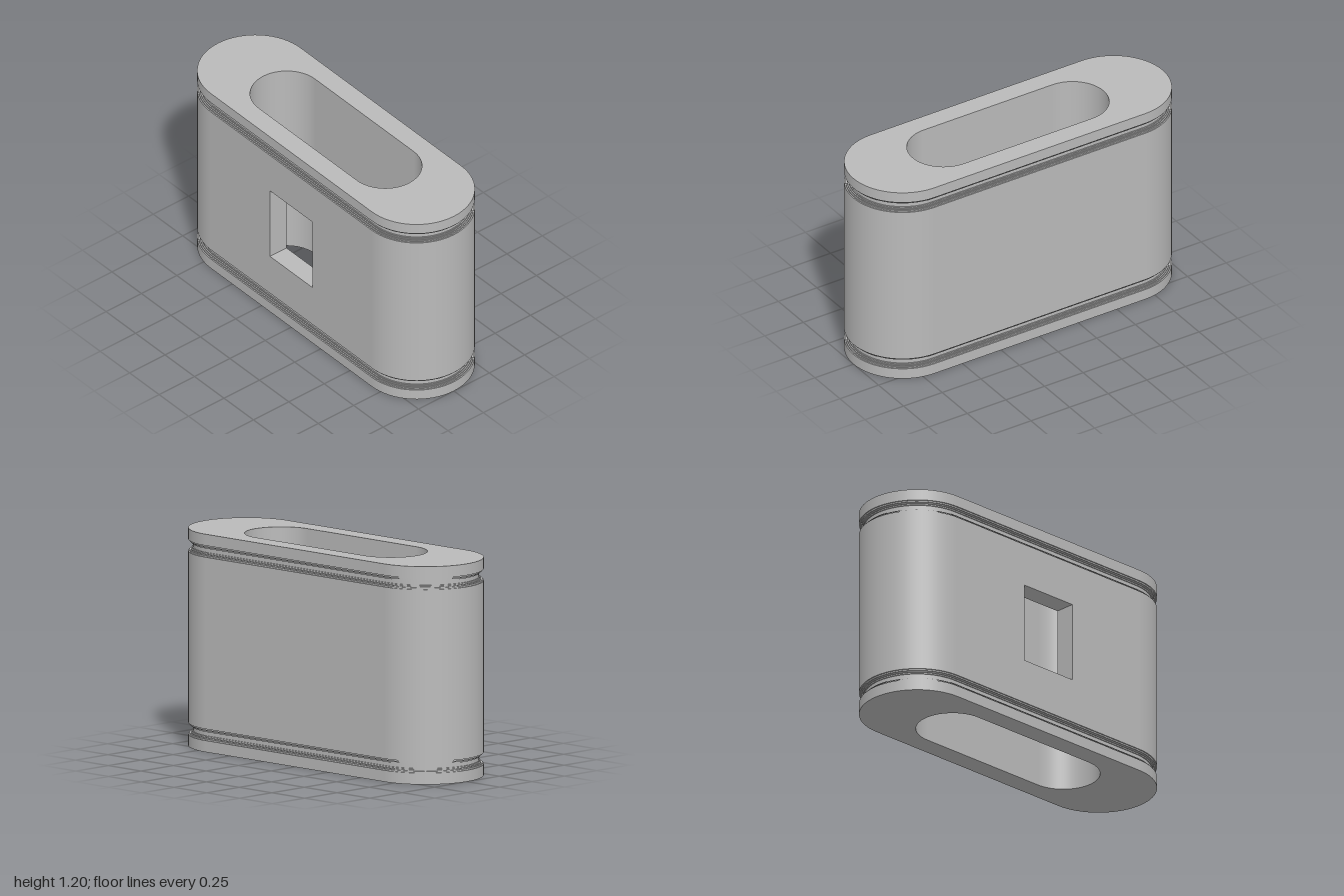
import * as THREE from 'three';

const OUT = { c: 0.683, r: 0.317 };   // outer stadium: end centre x, end radius
const INN = { c: 0.417, r: 0.2 };     // hollow stadium
const H = 1.2, ARC = 32;
const WIN = { x: 0.18, y0: 0.38, y1: 0.83 };
const GROOVES = [0.095, 1.105];

// Sweeps a profile of [c, r, y] points around a stadium; open leaves out the front flat
function sweep(profile, open = false) {
  const pos = [], nor = [], idx = [];
  const n = 2 * (ARC + 1);
  for (let k = 0; k + 1 < profile.length; k++) {
    const [a, b] = [profile[k], profile[k + 1]];
    const dr = b[1] - a[1], dy = b[2] - a[2], len = Math.hypot(dr, dy);
    const base = pos.length / 3;
    for (const [c, r, y] of [a, b]) {
      for (let side = 0; side < 2; side++) {
        for (let i = 0; i <= ARC; i++) {
          const t = Math.PI * (0.5 - side - i / ARC);
          pos.push((side ? -c : c) + r * Math.cos(t), y, r * Math.sin(t));
          nor.push(Math.cos(t) * dy / len, -dr / len, Math.sin(t) * dy / len);
        }
      }
    }
    for (let i = 0; i < (open ? n - 1 : n); i++) {
      const p = base + i, q = base + (i + 1) % n;
      idx.push(p, q, p + n, q, q + n, p + n);
    }
  }
  const g = new THREE.BufferGeometry();
  g.setAttribute('position', new THREE.Float32BufferAttribute(pos, 3));
  g.setAttribute('normal', new THREE.Float32BufferAttribute(nor, 3));
  g.setIndex(idx);
  return g;
}

// Flat wall panel with the window cut out
function panel(halfWidth, y0, y1) {
  const rect = (P, w, a, b) => new P([[-w, a], [w, a], [w, b], [-w, b]].map(p => new THREE.Vector2(...p)));
  const s = rect(THREE.Shape, halfWidth, y0, y1);
  s.holes.push(rect(THREE.Path, WIN.x, WIN.y0, WIN.y1));
  return new THREE.ShapeGeometry(s);
}

export function createModel() {
  const group = new THREE.Group();
  group.name = 'hollowBlock';
  const grey = new THREE.MeshStandardMaterial({ color: 0xbababa });
  grey.name = 'grey';
  const add = (name, geometry) => {
    const m = new THREE.Mesh(geometry, grey);
    m.name = name;
    group.add(m);
    return m;
  };
  const outer = (y, depth = 0) => [OUT.c, OUT.r - depth, y];
  const inner = y => [INN.c, INN.r, y];

  // Stepped grooves near the bottom and top
  const half = 0.032;
  const steps = [[0.032, 0.007], [0.024, 0.014], [0.018, 0.021], [0.011, 0.027]];
  for (const y of GROOVES) {
    const profile = [outer(y - half)];
    let last = 0;
    for (const [h, d] of steps) {
      profile.push(outer(y - h, last), outer(y - h, d));
      last = d;
    }
    for (let i = steps.length - 1; i >= 0; i--) {
      profile.push(outer(y + steps[i][0], steps[i][1]), outer(y + steps[i][0], i ? steps[i - 1][1] : 0));
    }
    // drop repeated points
    const clean = profile.filter((p, i) => !i || Math.hypot(p[1] - profile[i - 1][1], p[2] - profile[i - 1][2]) > 1e-6);
    add('groove', sweep(clean));
  }

  // Rims with their end faces
  const low = GROOVES[0] + half, high = GROOVES[1] - half;
  add('bottomRim', sweep([inner(0), outer(0), outer(GROOVES[0] - half)]));
  add('topRim', sweep([outer(GROOVES[1] + half), outer(H), inner(H)]));

  // Main wall and hollow, each closed at the front by a panel with the window
  add('outerWall', sweep([outer(low), outer(high)], true));
  add('frontPanel', panel(OUT.c, low, high)).position.z = OUT.r;
  add('hollowWall', sweep([inner(H), inner(0)], true));
  const back = add('hollowFrontPanel', panel(INN.c, 0, H));
  back.rotation.y = Math.PI;
  back.position.z = INN.r;

  // Window sill, head and jambs through the front wall
  const depth = OUT.r - INN.r, zMid = (OUT.r + INN.r) / 2;
  const yMid = (WIN.y0 + WIN.y1) / 2;
  for (const s of [-1, 1]) {
    const flat = add(s < 0 ? 'windowSill' : 'windowHead', new THREE.PlaneGeometry(2 * WIN.x, depth));
    flat.rotation.x = s * Math.PI / 2;
    flat.position.set(0, s < 0 ? WIN.y0 : WIN.y1, zMid);
    const jamb = add('windowJamb', new THREE.PlaneGeometry(depth, WIN.y1 - WIN.y0));
    jamb.rotation.y = -s * Math.PI / 2;
    jamb.position.set(s * WIN.x, yMid, zMid);
  }
  return group;
}
